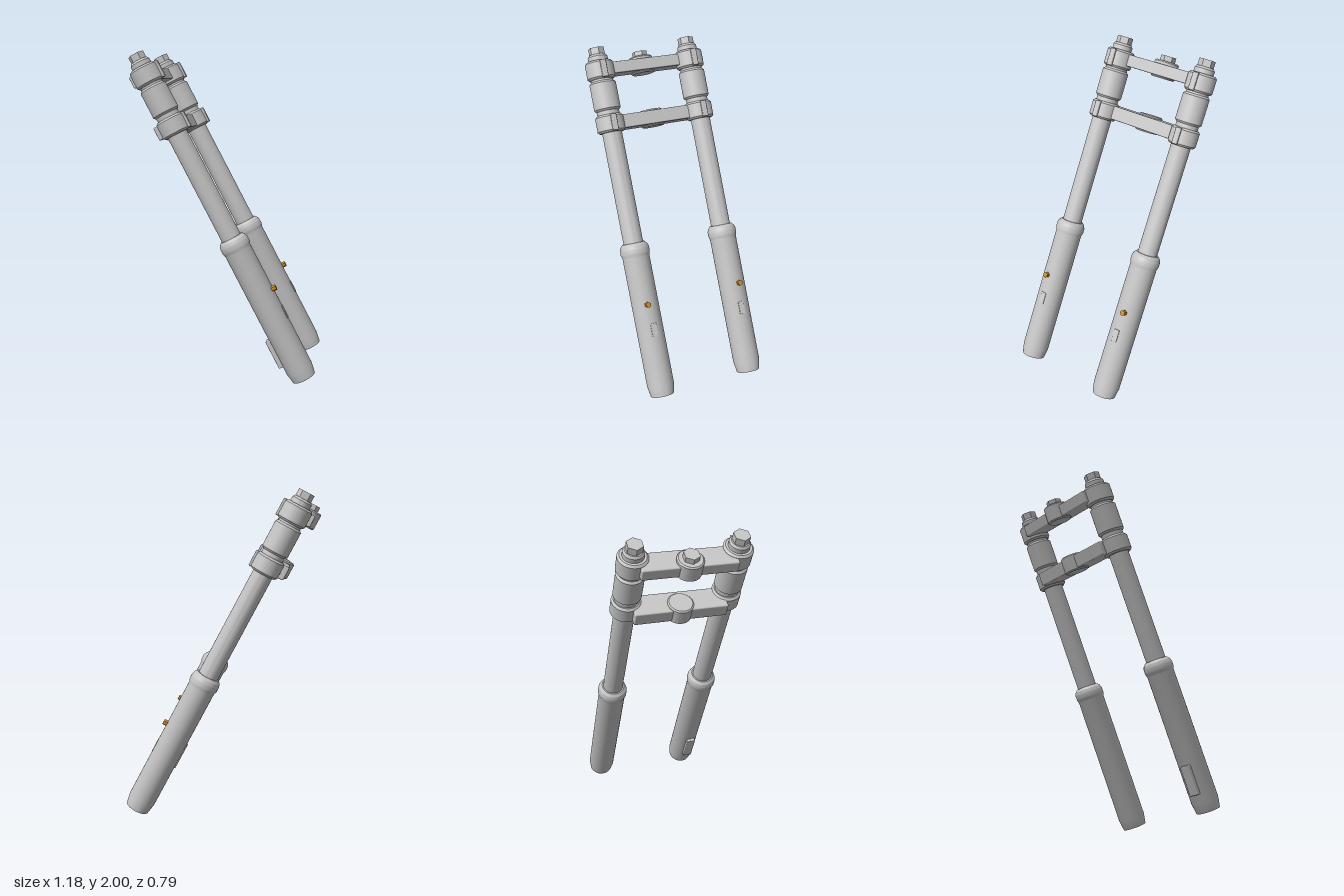
import * as THREE from 'three';
import { toCreasedNormals } from 'three/addons/utils/BufferGeometryUtils.js';
import { RoundedBoxGeometry } from 'three/addons/geometries/RoundedBoxGeometry.js';

const metal = new THREE.MeshStandardMaterial({ color: 0xc4c4c4 });
metal.name = 'satin grey metal';
const amber = new THREE.MeshStandardMaterial({ color: 0xc88a20 });
amber.name = 'amber bolt';

const LEG_Z = 0.304;
const HUB_X = -0.07;

function add(parent, name, geometry, material, x = 0, y = 0, z = 0) {
  const mesh = new THREE.Mesh(geometry, material);
  mesh.name = name;
  mesh.position.set(x, y, z);
  parent.add(mesh);
  return mesh;
}

// Turned part from [radius, height] pairs, closed at both ends
function turned(profile) {
  const pts = [[0, profile[0][1]], ...profile, [0, profile[profile.length - 1][1]]];
  const geo = new THREE.LatheGeometry(pts.map(([r, y]) => new THREE.Vector2(r, y)), 48);
  return toCreasedNormals(geo, 0.35);
}

// Collar with small chamfers on both rims
const collar = (r, y0, y1, c) => turned([[r - c, y0], [r, y0 + c], [r, y1 - c], [r - c, y1]]);

function hexHead(r, h) {
  const geo = new THREE.CylinderGeometry(r, r, h, 6);
  geo.rotateY(Math.PI / 6);
  return toCreasedNormals(geo, 0.35);
}

// Box given by its limits across and along the fork axis
function block(parent, name, x0, x1, y0, y1, depth, bevel, z = 0) {
  const geo = new RoundedBoxGeometry(x1 - x0, y1 - y0, depth, 2, bevel);
  add(parent, name, geo, metal, (x0 + x1) / 2, (y0 + y1) / 2, z);
}

function makeLeg(side) {
  const leg = new THREE.Group();
  leg.name = side > 0 ? 'leftLeg' : 'rightLeg';
  leg.position.z = side * LEG_Z;

  // Lower slider with tapered foot and flared seal collar
  add(leg, 'slider', turned([
    [0.074, 0], [0.085, 0.065], [0.085, 0.88], [0.092, 0.9],
    [0.092, 0.93], [0.085, 0.95], [0.07, 0.966],
  ]), metal);
  add(leg, 'innerTube', turned([[0.062, 0.9], [0.062, 1.72]]), metal);
  add(leg, 'upperNeck', turned([[0.07, 1.7], [0.07, 2.05]]), metal);
  add(leg, 'upperSleeve', collar(0.083, 1.8, 1.985, 0.012), metal);

  // Clamp rings with a pinch lug at the front
  for (const [name, y0, y1] of [['lowerClamp', 1.665, 1.775], ['upperClamp', 1.997, 2.112]]) {
    add(leg, name, collar(0.088, y0, y1, 0.012), metal);
    block(leg, name + 'Lug', 0.05, 0.1, y0 + 0.004, y1 - 0.004, 0.037, 0.006);
  }

  // Top cap and its hex
  add(leg, 'topCap', turned([[0.062, 2.1], [0.062, 2.14], [0.052, 2.153]]), metal);
  add(leg, 'topHex', hexHead(0.05, 0.056), metal, 0, 2.168);

  // Raised pad and bolt on the front of the slider
  block(leg, 'frontPad', 0.06, 0.0865, 0.38, 0.46, 0.037, 0.001);
  const bolt = add(leg, 'drainBolt', hexHead(0.018, 0.045), amber, 0.085, 0.58, side * 0.013);
  bolt.rotation.z = -Math.PI / 2;

  // Rear bracket is on one leg only
  if (side > 0) block(leg, 'rearBracket', -0.105, -0.04, 0.12, 0.305, 0.06, 0.006, 0.01);
  return leg;
}

// Cross bar joining the two clamps, with the steering hub in the middle
function makeBridge(name, x0, y0, y1, hub0, hub1) {
  const bridge = new THREE.Group();
  bridge.name = name;
  block(bridge, name + 'Bar', x0, 0.028, y0, y1, 0.56, 0.008);
  const hub = collar(0.077, hub0, hub1, 0.008);
  add(bridge, name + 'Hub', hub, metal, HUB_X);
  return bridge;
}

export function createModel() {
  const model = new THREE.Group();
  model.name = 'frontFork';

  // Everything is built upright, then raked back
  const fork = new THREE.Group();
  fork.name = 'rakedFork';
  fork.position.set(0.525, 0.035, 0);
  fork.rotation.z = THREE.MathUtils.degToRad(27.8);
  model.add(fork);

  for (const side of [1, -1]) fork.add(makeLeg(side));
  fork.add(makeBridge('lowerBridge', -0.123, 1.68, 1.765, 1.67, 1.777));
  const upper = makeBridge('upperBridge', -0.112, 2.025, 2.098, 2.014, 2.122);
  add(upper, 'stemNut', hexHead(0.048, 0.04), metal, HUB_X, 2.135);
  fork.add(upper);
  return model;
}
